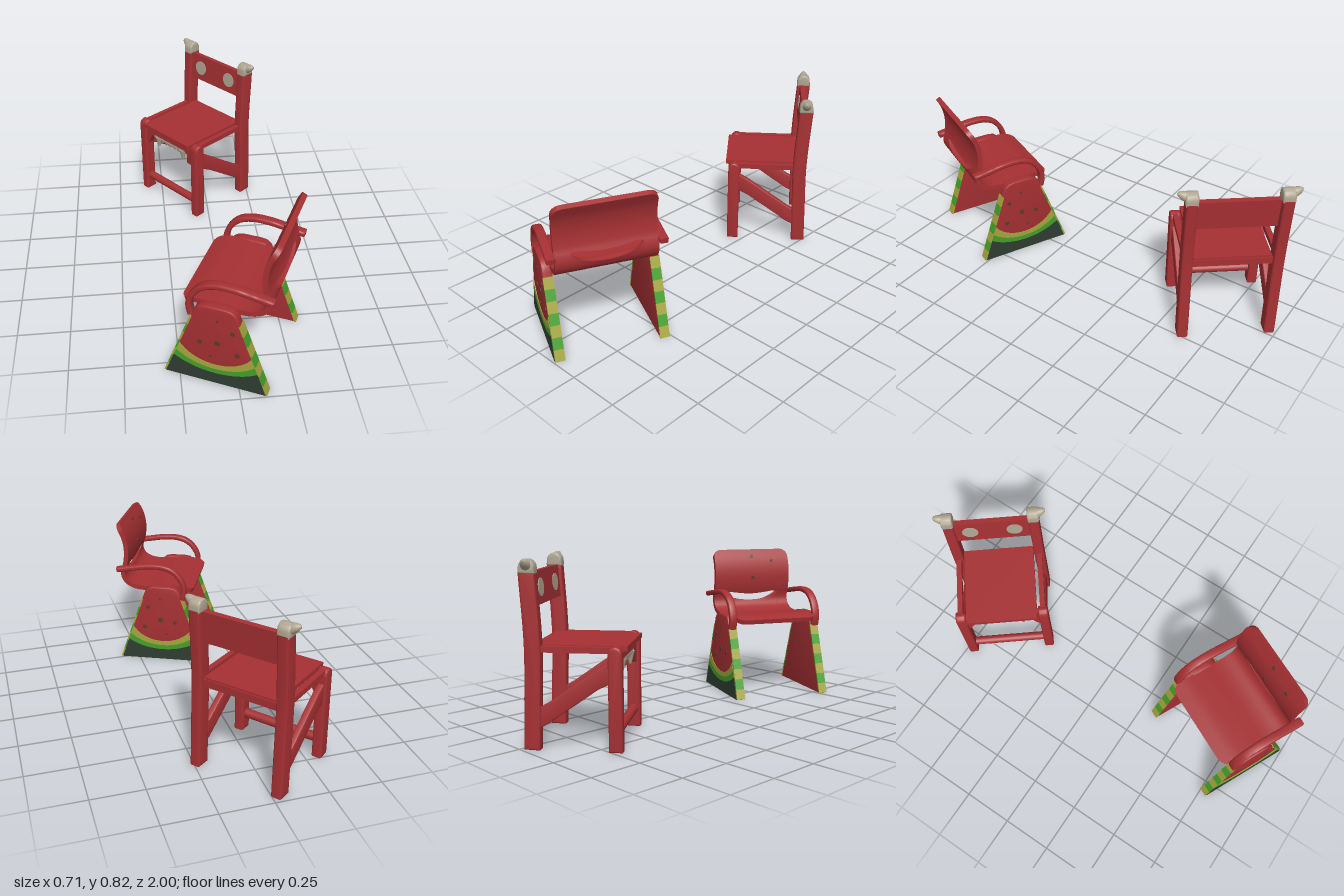
import * as THREE from 'three';
import { toCreasedNormals } from 'three/addons/utils/BufferGeometryUtils.js';

const mat = (name, color) => Object.assign(new THREE.MeshStandardMaterial({ color }), { name });
const red = mat('red paint', 0xa63033);
const bone = mat('bone', 0xb0a692);
const yellow = mat('rind yellow', 0xa6a63e);
const green = mat('rind green', 0x45a02a);
const dark = mat('rind dark green', 0x2f3d32);
const brown = mat('seed brown', 0x5c3a2c);

function add(parent, name, geo, material, x = 0, y = 0, z = 0) {
  const m = new THREE.Mesh(geo, material);
  m.name = name;
  m.position.set(x, y, z);
  parent.add(m);
  return m;
}

// Outline drawn in (z, y), given a width across x and centred on x = 0
function sideExtrude(points, width, bevel = 0) {
  const shape = new THREE.Shape(points.map(([z, y]) => new THREE.Vector2(z, y)));
  const geo = new THREE.ExtrudeGeometry(shape, {
    depth: width - 2 * bevel, bevelEnabled: bevel > 0, bevelThickness: bevel,
    bevelSize: bevel, bevelOffset: -bevel, bevelSegments: 3,
  });
  geo.translate(0, 0, bevel - width / 2).rotateY(-Math.PI / 2);
  return toCreasedNormals(geo, 0.6);
}

const sideCurve = (pts) => new THREE.CatmullRomCurve3(pts.map(([z, y]) => new THREE.Vector3(0, y, z)));

// Position and outward normal on a side curve, as [z, y, nz, ny]
function sample(curve, v) {
  const p = curve.getPointAt(v), t = curve.getTangentAt(v);
  return [p.z, p.y, t.y, -t.z];
}

// Bent strip of even thickness that follows a side curve
function ribbon(pts, thick, width, bevel) {
  const curve = sideCurve(pts), a = [], b = [], h = thick / 2;
  for (let i = 0; i <= 24; i++) {
    const [z, y, nz, ny] = sample(curve, i / 24);
    a.push([z + nz * h, y + ny * h]);
    b.unshift([z - nz * h, y - ny * h]);
  }
  return sideExtrude([...a, ...b], width, bevel);
}

// Upright bar with a round top
function roundTop(half, y0, y1, width, z) {
  const pts = [[z - half, y0], [z + half, y0]];
  for (let i = 0; i <= 12; i++) {
    const a = (i / 12) * Math.PI;
    pts.push([z + half * Math.cos(a), y1 - half + half * Math.sin(a)]);
  }
  return sideExtrude(pts, width, 0.008);
}

// Thick bent sheet whose start and end along the curve depend on x
function shell(curve, xs, start, end, thick) {
  const N = 24, R = 2 * N + 2, pos = [], idx = [];
  for (const x of xs) {
    const v0 = start(x), v1 = end(x);
    for (let j = 0; j < R; j++) {
      const k = j <= N ? j : R - 1 - j, s = (j <= N ? 1 : -1) * thick / 2;
      const [z, y, nz, ny] = sample(curve, v0 + (v1 - v0) * k / N);
      pos.push(x, y + ny * s, z + nz * s);
    }
  }
  const quad = (a, b, c, d) => idx.push(a, b, c, a, c, d);
  for (let i = 0; i < xs.length - 1; i++)
    for (let j = 0; j < R; j++) {
      const n = (j + 1) % R;
      quad(i * R + j, (i + 1) * R + j, (i + 1) * R + n, i * R + n);
    }
  const last = (xs.length - 1) * R;
  for (let j = 0; j < N; j++) {
    quad(last + j, last + R - 1 - j, last + R - 2 - j, last + j + 1);
    quad(j, j + 1, R - 2 - j, R - 1 - j);
  }
  const geo = new THREE.BufferGeometry();
  geo.setAttribute('position', new THREE.Float32BufferAttribute(pos, 3));
  geo.setIndex(idx);
  return toCreasedNormals(geo, 0.7);
}

function melonChair() {
  const g = new THREE.Group();
  g.name = 'melonChair';

  // Seat and backrest in one bent sheet, with a smiling grip slot
  const curve = sideCurve([[0.165, 0.405], [0.1, 0.422], [0, 0.42], [-0.1, 0.412], [-0.16, 0.42],
    [-0.205, 0.447], [-0.222, 0.49], [-0.205, 0.56], [-0.2, 0.63], [-0.213, 0.7], [-0.245, 0.767]]);
  const half = 0.23, r = 0.045, len = curve.getLength();
  const xs = Array.from({ length: 49 }, (_, i) => half * Math.sin((i / 24 - 1) * Math.PI / 2));
  const corner = (x) => {
    const d = Math.max(0, Math.abs(x) - half + r);
    return (r - Math.sqrt(Math.max(0, r * r - d * d))) / len;
  };
  const slot = (x, side) => {
    const s = Math.min(1, Math.abs(x) / 0.16);
    return 0.61 + 0.04 * s * s + side * 0.03 * Math.sqrt(1 - s ** 4);
  };
  add(g, 'seat', shell(curve, xs, corner, (x) => slot(x, -1), 0.024), red);
  add(g, 'backrest', shell(curve, xs, (x) => slot(x, 1), (x) => 1 - corner(x), 0.024), red);
  for (const [x, v] of [[0.125, 0.9], [0, 0.77], [0, 0.94]]) {
    const [z, y, nz, ny] = sample(curve, v);
    const seed = add(g, 'backSeed', new THREE.CylinderGeometry(0.01, 0.01, 0.005, 8), brown,
      x, y + ny * 0.0125, z + nz * 0.0125);
    seed.rotation.x = Math.atan2(nz, ny);
  }

  // Slice-shaped side panels
  const t = 0.045, edge = (y) => 0.237 - 0.353 * y;
  const outline = [[-0.237, 0], [0.237, 0], [0.102, 0.385], [0.092, 0.412], [0.07, 0.43], [0.04, 0.435],
    [-0.04, 0.435], [-0.07, 0.43], [-0.092, 0.412], [-0.102, 0.385]];
  const panelGeo = sideExtrude(outline, t, 0.006);
  const levels = [[0, 0, dark, 'darkRind'], [0.06, 0.115, green, 'greenRind'],
    [0.085, 0.15, yellow, 'yellowRind'], [0.11, 0.195]];
  const arc = ([c, e]) => Array.from({ length: 21 }, (_, i) => {
    const s = i / 10 - 1, y = c + (e - c) * s * s;
    return [s * (edge(y) - 0.004), y];
  });
  const armGeo = ribbon([[0.112, 0.365], [0.122, 0.42], [0.103, 0.48], [0.058, 0.528], [0, 0.548],
    [-0.08, 0.549], [-0.17, 0.535], [-0.25, 0.522]], 0.026, 0.042, 0.008);
  const tilt = Math.atan(0.353), stripes = 7, top = 0.365;
  for (const side of [1, -1]) {
    const x = side * 0.245, face = x + side * t / 2;
    add(g, 'sidePanel', panelGeo, red, x);
    add(g, 'armrest', armGeo, red, side * 0.248);
    for (let i = 0; i < 3; i++)
      add(g, levels[i][3], sideExtrude([...arc(levels[i]), ...arc(levels[i + 1]).reverse()], 0.005), levels[i][2], face);
    for (const [z, y, size] of [[-0.078, 0.315, 0.011], [-0.01, 0.24, 0.014], [0.07, 0.228, 0.011],
      [-0.1, 0.195, 0.012], [-0.01, 0.365, 0.006], [0.022, 0.155, 0.006]])
      add(g, 'panelSeed', new THREE.CylinderGeometry(size, size, 0.005, 8), brown, face, y, z).rotation.z = Math.PI / 2;
    // Striped rind along the front and back edges
    for (const dir of [1, -1])
      for (let i = 0; i < stripes; i++) {
        const y = (i + 0.5) * top / stripes;
        const strip = add(g, 'rindStripe', new THREE.BoxGeometry(t + 0.001, top / stripes / Math.cos(tilt), 0.009),
          i % 2 ? green : yellow, x, y, dir * edge(y));
        strip.rotation.x = -dir * tilt;
      }
  }
  return g;
}

function monsterChair() {
  const g = new THREE.Group();
  g.name = 'monsterChair';
  const box = (name, w, h, d, x, y, z) => add(g, name, new THREE.BoxGeometry(w, h, d), red, x, y, z);

  box('seat', 0.36, 0.022, 0.41, 0, 0.441, 0.015);
  box('backRail', 0.38, 0.035, 0.03, 0, 0.425, -0.18);
  add(g, 'frontStretcher', new THREE.CylinderGeometry(0.022, 0.022, 0.4, 20).rotateZ(Math.PI / 2), red, 0, 0.087, 0.175);

  // Posts, side rails and diagonal braces
  const frontPost = roundTop(0.03, 0, 0.455, 0.05, 0.175);
  const backPost = ribbon([[-0.19, 0], [-0.184, 0.2], [-0.178, 0.45], [-0.195, 0.77]], 0.07, 0.052, 0.008);
  const brace = sideExtrude([[0.16, 0.3], [0.16, 0.392], [0.1, 0.36], [-0.12, 0.205], [-0.165, 0.18],
    [-0.165, 0.09], [-0.12, 0.115], [0.1, 0.27]], 0.03, 0.004);
  const cap = roundTop(0.034, 0.758, 0.818, 0.058, -0.193);
  const hornGeo = new THREE.LatheGeometry([[0.026, 0], [0.024, 0.025], [0.019, 0.045], [0.011, 0.062], [0, 0.07]]
    .map(([a, b]) => new THREE.Vector2(a, b)), 20);
  for (const side of [1, -1]) {
    const x = side * 0.21;
    add(g, 'frontLeg', frontPost, red, x);
    add(g, 'backPost', backPost, red, x);
    add(g, 'sideBrace', brace, red, x);
    box('sideRail', 0.026, 0.026, 0.33, x, 0.438, 0);
    add(g, 'hornCap', cap, bone, x);
    add(g, 'horn', hornGeo, bone, x, 0.785, -0.193).rotation.z = -side * 1.13;
  }

  // Top slat with two round eyes
  const slat = new THREE.Group();
  slat.name = 'topSlat';
  slat.position.set(0, 0.69, -0.182);
  slat.rotation.x = -0.07;
  add(slat, 'slat', new THREE.BoxGeometry(0.4, 0.146, 0.026), red);
  for (const side of [1, -1])
    add(slat, 'eye', new THREE.CylinderGeometry(0.04, 0.04, 0.006, 28).rotateX(Math.PI / 2), bone, side * 0.11, 0, 0.013);
  g.add(slat);

  // Arched front apron with a row of teeth under it
  const extrudeFront = (pts, depth) => new THREE.ExtrudeGeometry(
    new THREE.Shape(pts.map((p) => new THREE.Vector2(...p))), { depth, bevelEnabled: false }).translate(0, 0, -depth / 2);
  add(g, 'apron', extrudeFront([[-0.19, 0.31], [-0.175, 0.32], [-0.145, 0.375], [-0.125, 0.387], [0.125, 0.387],
    [0.145, 0.375], [0.175, 0.32], [0.19, 0.31], [0.19, 0.435], [-0.19, 0.435]], 0.034), red, 0, 0, 0.175);
  add(g, 'gum', new THREE.BoxGeometry(0.25, 0.014, 0.028), bone, 0, 0.383, 0.178);
  for (let i = -3; i <= 3; i++) {
    const fang = Math.abs(i) === 3, h = fang ? 0.06 : 0.026;
    add(g, fang ? 'fang' : 'tooth', new THREE.CylinderGeometry(fang ? 0.022 : 0.016, 0.006, h, 14), bone,
      i * 0.033, 0.382 - h / 2, 0.178);
  }
  return g;
}

export function createModel() {
  const model = new THREE.Group();
  model.name = 'chairPair';
  const melon = melonChair();
  melon.position.set(0.015, 0, 0.65);
  melon.rotation.y = Math.atan2(-0.902, -0.432);
  const monster = monsterChair();
  monster.position.set(-0.055, 0, -0.67);
  monster.rotation.y = Math.atan2(-0.78, 0.625);
  model.add(melon, monster);
  return model;
}
